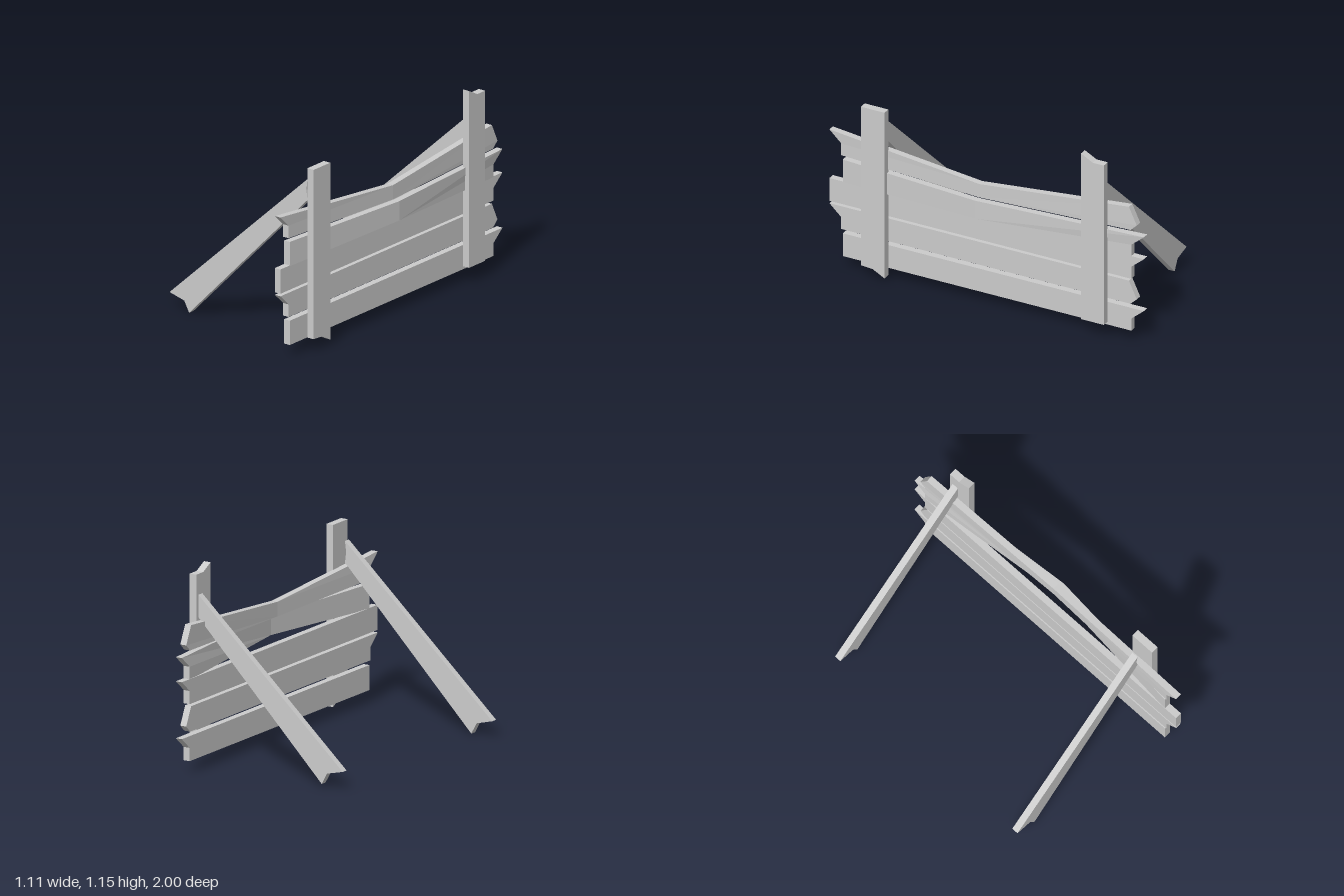
import * as THREE from 'three';

const material = new THREE.MeshStandardMaterial({ color: 0xcccccc, flatShading: true });

// Flat plank cut from an outline of [a, y] points
function extrude(points, depth) {
  const shape = new THREE.Shape(points.map(([a, y]) => new THREE.Vector2(a, y)));
  return new THREE.ExtrudeGeometry(shape, { depth, bevelEnabled: false });
}

// Plank standing in the z-y plane, from x0 to x1
function sidePlank(points, x0, x1) {
  return extrude(points.map(([z, y]) => [-z, y]), x1 - x0)
    .rotateY(Math.PI / 2).translate(x0, 0, 0);
}

function addMesh(parent, name, geometry) {
  geometry.computeVertexNormals();
  const mesh = new THREE.Mesh(geometry, material);
  mesh.name = name;
  parent.add(mesh);
}

// Broken or sawn end profiles, top to bottom: [z, height above board bottom]
const H = 0.145;
const ENDS = {
  splitFront: [[1, H], [0.925, 0.075], [0.925, 0]],
  shortFront: [[0.915, H], [0.915, 0]],
  longFront: [[1, H], [1, 0]],
  pointedBack: [[-0.905, H], [-0.955, 0.038], [-0.915, 0]],
  splitBack: [[-1, H], [-0.92, 0.077], [-0.92, 0]],
};
const BOARDS = [
  { y: 0.075, front: 'shortFront', back: 'splitBack' },
  { y: 0.245, front: 'splitFront', back: 'pointedBack' },
  { y: 0.405, front: 'longFront', back: 'splitBack' },
  { y: 0.545, front: 'shortFront', back: 'splitBack', bend: { bottom: 0.58, top: 0.695, out: 0.08 } },
  { y: 0.715, front: 'splitFront', back: 'pointedBack', bend: { bottom: 0.695, top: 0.78, out: 0.035 } },
];
const X0 = 0.43, X1 = 0.47, MID = 0.03;

function addBoard(parent, { y, front, back, bend }) {
  const board = new THREE.Group();
  board.name = 'board';
  parent.add(board);
  const lift = ([z, h]) => [z, y + h];
  const f = ENDS[front].map(lift), b = ENDS[back].map(lift);
  if (!bend) {
    addMesh(board, 'straightBoard', sidePlank([...f, ...b.reverse()], X0, X1));
    return;
  }
  // Bent boards: two halves leaning outwards to a crease near the middle
  for (const end of [f, b]) {
    const points = [[MID, bend.top], ...end, [MID, bend.bottom]];
    const geometry = sidePlank(points, X0, X1);
    const pos = geometry.attributes.position;
    for (let i = 0; i < pos.count; i++) {
      const t = Math.max(0, 1 - Math.abs(pos.getZ(i) - MID) / 0.87);
      pos.setX(i, pos.getX(i) + bend.out * t);
    }
    addMesh(board, 'bentBoardHalf', geometry);
  }
}

export function createModel() {
  const model = new THREE.Group();
  model.name = 'barricade';

  // Horizontal boards
  BOARDS.forEach((board) => addBoard(model, board));

  // Upright posts with one broken end each
  addMesh(model, 'frontPost', sidePlank(
    [[0.77, 1.09], [0.77, 0.08], [0.695, 0.075], [0.62, 0.035], [0.62, 1.09]], 0.48, 0.525));
  addMesh(model, 'backPost', sidePlank(
    [[-0.63, 1.155], [-0.63, 0.1], [-0.775, 0.1], [-0.775, 1.115], [-0.705, 1.115]], 0.48, 0.525));

  // Slanted props with notched feet
  addMesh(model, 'frontProp', extrude(
    [[-0.555, 0.095], [-0.45, 0.068], [-0.415, 0.003], [0.43, 0.87], [0.422, 0.93], [0.43, 0.995]], 0.04)
    .translate(0, 0, 0.665));
  addMesh(model, 'backProp', extrude(
    [[-0.485, 0.11], [-0.38, 0.085], [-0.345, 0.02], [0.48, 0.865], [0.48, 0.995]], 0.04)
    .translate(0, 0, -0.755));

  return model;
}
